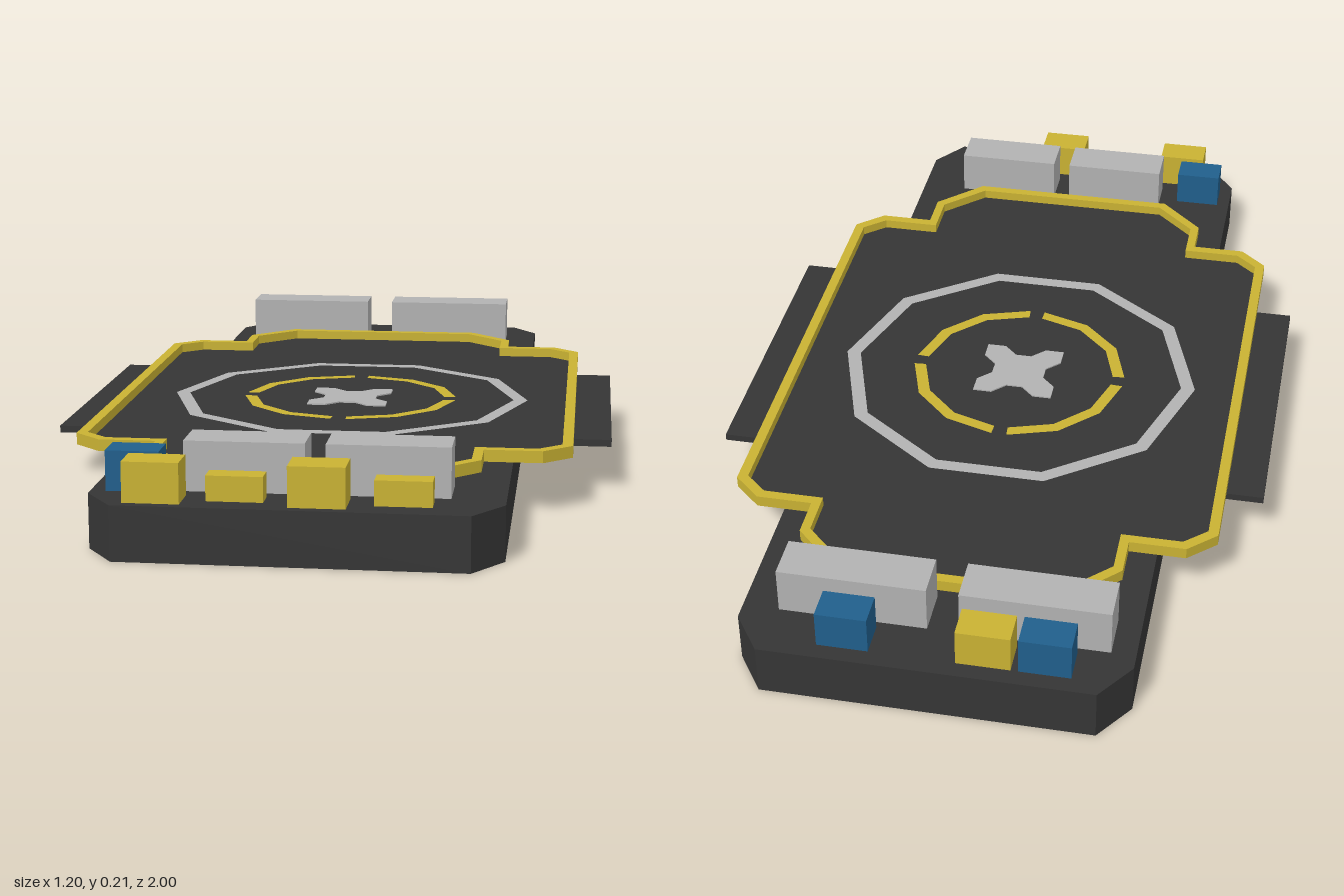
import * as THREE from 'three';

const material = (name, color) => {
  const m = new THREE.MeshStandardMaterial({ color });
  m.name = name;
  return m;
};

export function createModel() {
  const charcoal = material('charcoal', 0x353535);
  const yellow = material('yellow', 0xc9b233);
  const grey = material('grey', 0xb2b2b2);
  const blue = material('blue', 0x205f8c);
  const group = new THREE.Group();

  const add = (name, geometry, mat) => {
    const mesh = new THREE.Mesh(geometry, mat);
    mesh.name = name;
    group.add(mesh);
    return mesh;
  };

  // Mirrors one quadrant of [x, z] points (from the x side to the z side) into a full outline
  const outline = (quarter) => {
    const back = [...quarter].reverse();
    return [
      ...quarter,
      ...back.map(([x, z]) => [-x, z]),
      ...quarter.map(([x, z]) => [-x, -z]),
      ...back.map(([x, z]) => [x, -z]),
    ].map(([x, z]) => new THREE.Vector2(x, z));
  };

  // Flat slab lying between two heights, with an optional hole
  const slab = (name, quarter, y0, y1, mat, hole) => {
    const shape = new THREE.Shape(outline(quarter));
    if (hole) shape.holes.push(new THREE.Path(outline(hole)));
    const geo = new THREE.ExtrudeGeometry(shape, { depth: y1 - y0, bevelEnabled: false });
    geo.rotateX(-Math.PI / 2).translate(0, y0, 0);
    return add(name, geo, mat);
  };

  const box = (name, x0, x1, y0, y1, z0, z1, mat) => {
    const mesh = add(name, new THREE.BoxGeometry(x1 - x0, y1 - y0, z1 - z0), mat);
    mesh.position.set((x0 + x1) / 2, (y0 + y1) / 2, (z0 + z1) / 2);
  };

  // Base with clipped corners, and a thin plate on each side
  slab('base', [[0.4, 0.915], [0.34, 1]], 0, 0.11, charcoal);
  box('leftSidePlate', 0.4, 0.6, 0.095, 0.11, -0.35, 0.35, charcoal);
  box('rightSidePlate', -0.6, -0.4, 0.095, 0.11, -0.35, 0.35, charcoal);

  // Landing deck framed by a raised rim
  const outer = [[0.52, 0.52], [0.46, 0.575], [0.34, 0.575], [0.34, 0.665], [0.24, 0.765]];
  const inner = [[0.498, 0.51], [0.45, 0.553], [0.32, 0.553], [0.32, 0.655], [0.23, 0.743]];
  slab('deck', inner, 0.11, 0.114, charcoal);
  slab('deckRim', outer, 0.11, 0.135, yellow, inner);

  // Painted deck markings
  const ring = (name, r0, r1, segments, start, length, mat) => {
    const geo = new THREE.RingGeometry(r0, r1, segments, 1, start, length);
    geo.rotateX(-Math.PI / 2).translate(0, 0.117, 0);
    add(name, geo, mat);
  };
  ring('outerRing', 0.378, 0.41, 10, 0, Math.PI * 2, grey);
  for (let i = 0; i < 4; i++) {
    ring('innerRingArc', 0.218, 0.245, 2, (i * Math.PI) / 2 + 0.07, Math.PI / 2 - 0.14, yellow);
  }
  slab('centreCross', [[0.06, 0.018], [0.09, 0.048], [0.09, 0.09], [0.048, 0.09], [0.018, 0.06]],
    0.114, 0.117, grey);

  // Cargo: name, x range, top height, z range, colour
  const cargo = [
    ['backContainer', -0.35, -0.045, 0.21, -0.88, -0.785, grey],
    ['backContainer', 0.02, 0.325, 0.21, -0.88, -0.785, grey],
    ['backCrate', -0.285, -0.18, 0.19, -0.965, -0.895, blue],
    ['backCrate', -0.165, -0.055, 0.19, -0.965, -0.895, yellow],
    ['backCrate', 0.12, 0.225, 0.19, -0.965, -0.895, blue],
    ['frontContainer', -0.22, 0.015, 0.21, 0.785, 0.88, grey],
    ['frontContainer', 0.055, 0.295, 0.21, 0.785, 0.88, grey],
    ['frontCrate', -0.37, -0.265, 0.19, 0.825, 0.895, blue],
    ['frontCrate', -0.32, -0.21, 0.19, 0.91, 0.98, yellow],
    ['frontLowCrate', -0.165, -0.055, 0.16, 0.905, 0.95, yellow],
    ['frontCrate', -0.005, 0.105, 0.19, 0.905, 0.98, yellow],
    ['frontLowCrate', 0.155, 0.265, 0.16, 0.905, 0.95, yellow],
  ];
  for (const [name, x0, x1, top, z0, z1, mat] of cargo) box(name, x0, x1, 0.11, top, z0, z1, mat);

  return group;
}
